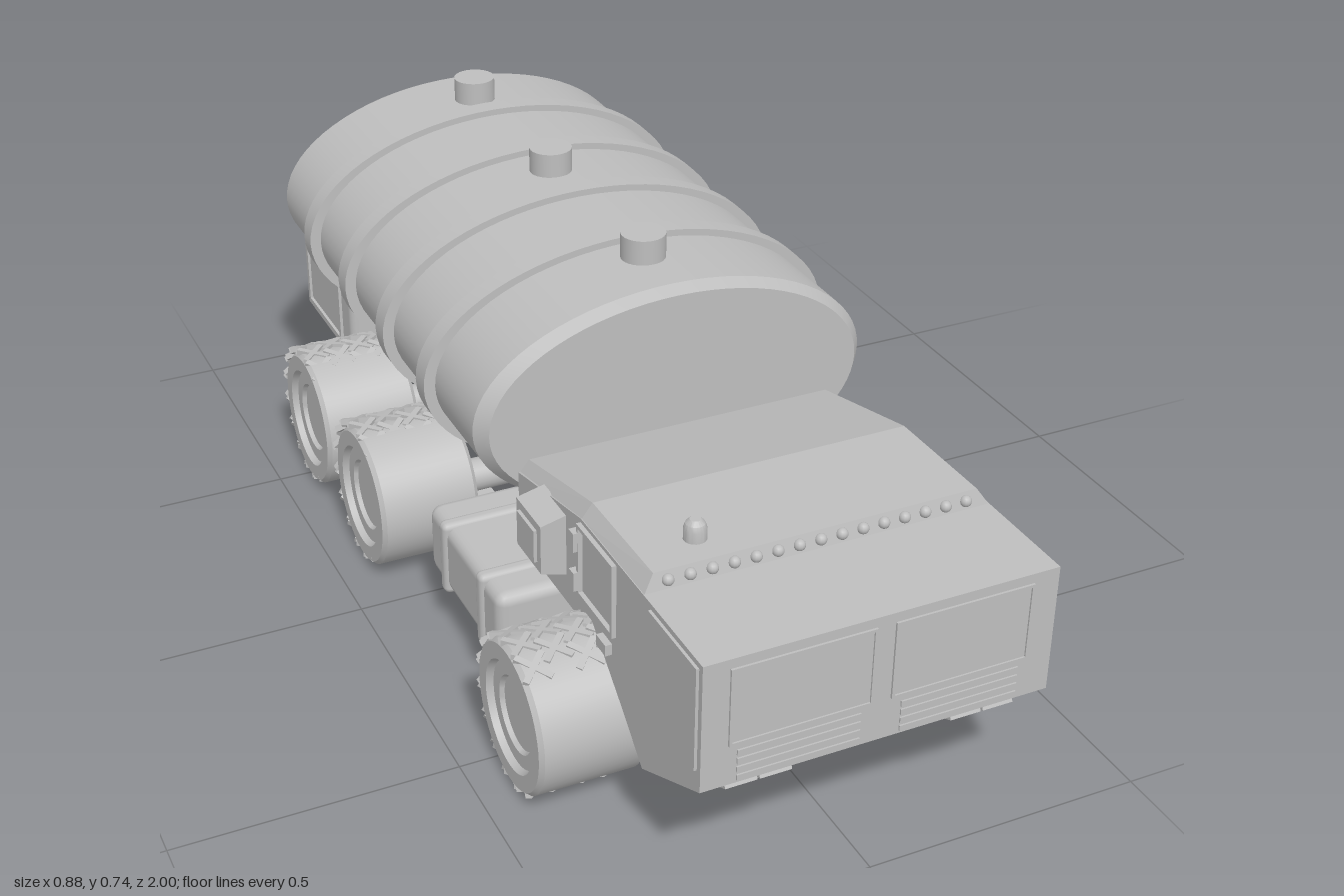
import * as THREE from 'three';
import { toCreasedNormals, mergeGeometries } from 'three/addons/utils/BufferGeometryUtils.js';
import { RoundedBoxGeometry } from 'three/addons/geometries/RoundedBoxGeometry.js';
import { ConvexGeometry } from 'three/addons/geometries/ConvexGeometry.js';

export function createModel() {
  const model = new THREE.Group();
  model.name = 'tankerTruck';
  const gray = new THREE.MeshStandardMaterial({ color: 0xbebebe });
  gray.name = 'plain gray';

  const add = (name, geo, x = 0, y = 0, z = 0, parent = model) => {
    const m = new THREE.Mesh(geo, gray);
    m.name = name;
    m.position.set(x, y, z);
    parent.add(m);
    return m;
  };
  const box = (name, w, h, d, x, y, z, parent) => add(name, new THREE.BoxGeometry(w, h, d), x, y, z, parent);
  const rounded = (name, w, h, d, r, x, y, z) => add(name, new RoundedBoxGeometry(w, h, d, 2, r), x, y, z);
  const cyl = (r, len, axis, seg = 24) => {
    const g = new THREE.CylinderGeometry(r, r, len, seg);
    if (axis === 'x') g.rotateZ(Math.PI / 2);
    if (axis === 'z') g.rotateX(Math.PI / 2);
    return g;
  };
  const lathe = (pts, seg) => toCreasedNormals(
    new THREE.LatheGeometry(pts.map(p => new THREE.Vector2(...p)), seg), 0.5);
  const shapeOf = pts => new THREE.Shape(pts.map(p => new THREE.Vector2(...p)));
  // Side profile of [z, y] points, extruded across x and centred on cx
  const sideways = (name, pts, width, cx = 0) => {
    const g = new THREE.ExtrudeGeometry(shapeOf(pts), { depth: width, bevelEnabled: false });
    g.rotateY(-Math.PI / 2);
    return add(name, g, cx + width / 2);
  };
  // Rectangular frame in the xy plane
  const frame = (w, h, t, depth) => {
    const rect = (a, b) => [[-a, -b], [a, -b], [a, b], [-a, b]];
    const s = shapeOf(rect(w / 2, h / 2));
    s.holes.push(shapeOf(rect(w / 2 - t, h / 2 - t)));
    return new THREE.ExtrudeGeometry(s, { depth, bevelEnabled: false });
  };

  // Cab shell and chamfered roof
  sideways('cab', [[0.996, 0.48], [0.996, 0.25], [0.8, 0.15], [0.72, 0.22], [0.61, 0.31],
    [0.31, 0.31], [0.31, 0.42], [0.57, 0.48]], 0.61);
  box('cabRearBase', 0.56, 0.075, 0.28, 0, 0.277, 0.46);
  const roof = [];
  for (const s of [-1, 1]) {
    for (const [z, y] of [[0.8, 0.478], [0.57, 0.478], [0.31, 0.415]]) roof.push(new THREE.Vector3(s * 0.305, y, z));
    for (const [z, y] of [[0.79, 0.508], [0.57, 0.505], [0.31, 0.44]]) roof.push(new THREE.Vector3(s * 0.285, y, z));
  }
  add('cabRoof', new ConvexGeometry(roof));

  // Roof marker lights and beacon
  for (let i = 0; i < 15; i++)
    add('markerLight', new THREE.SphereGeometry(0.01, 12, 8), -0.263 + i * 0.0375, 0.494, 0.796);
  add('beacon', lathe([[0.019, 0], [0.019, 0.023], [0.016, 0.033], [0.009, 0.04], [0, 0.042]], 20), -0.185, 0.503, 0.73);

  // Windshield, grille and headlights
  for (const s of [-1, 1]) {
    add('windshieldFrame', frame(0.244, 0.14, 0.005, 0.004), s * 0.138, 0.393, 0.996);
    box('windshield', 0.234, 0.13, 0.002, s * 0.138, 0.393, 0.996);
    for (let i = 0; i < 4; i++) box('grilleSlat', 0.21, 0.01, 0.008, s * 0.14, 0.26 + i * 0.0155, 0.995);
    for (const x of [0.168, 0.227]) {
      const lamp = new THREE.Group();
      lamp.name = 'headlight';
      lamp.position.set(s * x, 0.219, 0.935);
      lamp.rotation.x = 1.107;
      add('headlightFrame', frame(0.055, 0.092, 0.007, 0.012), 0, 0, 0, lamp);
      box('headlightLens', 0.042, 0.078, 0.008, 0, 0, 0.001, lamp);
      model.add(lamp);
    }
    // Cab side windows, door and hinges
    const pane = [[0.985, 0.47], [0.985, 0.285], [0.825, 0.195], [0.825, 0.47]];
    const inner = [[0.975, 0.46], [0.975, 0.291], [0.835, 0.212], [0.835, 0.46]];
    const sideFrame = shapeOf(pane);
    sideFrame.holes.push(shapeOf(inner));
    const fg = new THREE.ExtrudeGeometry(sideFrame, { depth: 0.008, bevelEnabled: false });
    fg.rotateY(-Math.PI / 2);
    add('sideWindowFrame', fg, s * 0.306 + 0.004);
    const door = add('doorWindowFrame', frame(0.135, 0.135, 0.007, 0.01), s * 0.303, 0.405, 0.635);
    door.rotation.y = s * Math.PI / 2;
    for (const y of [0.365, 0.44]) box('doorHinge', 0.018, 0.035, 0.018, s * 0.312, y, 0.565);
    box('doorHandle', 0.016, 0.02, 0.035, s * 0.309, 0.305, 0.67);
  }
  // Equipment locker on one side only
  add('sideLocker', new ConvexGeometry([0.41, 0.51].flatMap(z =>
    [[-0.3, 0.452], [-0.35, 0.44], [-0.35, 0.35], [-0.3, 0.335]].map(([x, y]) => new THREE.Vector3(x, y, z)))));
  box('lockerPanel', 0.012, 0.06, 0.07, -0.35, 0.395, 0.46);

  // Elliptical tank with chamfered ends, hoops, filler caps and saddles
  const oval = (name, pts, ry) => {
    const g = new THREE.LatheGeometry(pts.map(p => new THREE.Vector2(...p)), 72);
    g.rotateX(Math.PI / 2);
    g.scale(1, ry, 1);
    return add(name, toCreasedNormals(g, 0.35), 0, 0.49, 0);
  };
  oval('tank', [[0, -0.78], [0.35, -0.78], [0.37, -0.755], [0.37, 0.27], [0.35, 0.295], [0, 0.295]], 0.549);
  for (const z of [0.075, -0.135, -0.345, -0.555])
    oval('tankHoop', [[0.36, z - 0.02], [0.391, z - 0.02], [0.391, z + 0.02], [0.36, z + 0.02]], 0.55);
  for (const z of [0.152, -0.25, -0.635]) add('fillerCap', cyl(0.04, 0.06, 'y', 28), 0, 0.708, z);
  for (const z of [0.165, -0.23, -0.615])
    sideways('tankSaddle', [[z - 0.036, 0.23], [z + 0.036, 0.23], [z + 0.048, 0.325], [z - 0.048, 0.325]], 0.42);

  // Chassis frame
  box('deck', 0.34, 0.03, 1.2, 0, 0.225, -0.1);
  for (const s of [-1, 1]) box('frameRail', 0.05, 0.075, 1.4, s * 0.145, 0.2, 0.02);
  for (const z of [0.4, 0, -0.32, -0.62]) box('crossMember', 0.28, 0.04, 0.05, 0, 0.19, z);
  add('driveshaft', cyl(0.026, 1.06, 'z'), 0, 0.125, 0.05);

  // Wheel with crossed tread bars wrapped round the rear of the tyre
  const tyre = lathe([[0, 0.02], [0.085, 0.02], [0.092, 0], [0.126, 0], [0.134, 0.008], [0.134, 0.184],
    [0.127, 0.192], [0.098, 0.192], [0.093, 0.18], [0.068, 0.18], [0.064, 0.172], [0, 0.172]], 48);
  tyre.rotateZ(-Math.PI / 2);
  const bars = [];
  for (let i = 0; i < 16; i++) {
    for (let row = 0; row < 4; row++) {
      for (const lean of [-1, 1]) {
        const a = (i + (row % 2) * 0.5) / 16 * Math.PI * 2;
        if (Math.cos(a) > 0.45) continue;
        const b = new THREE.BoxGeometry(0.068, 0.012, 0.011);
        b.rotateY(lean * 0.82);
        b.translate(0.027 + row * 0.046, 0.131, 0);
        b.rotateX(Math.PI / 2 - a);
        bars.push(b);
      }
    }
  }
  const tread = mergeGeometries(bars);
  const axles = [[0.577, 0.004], [-0.16, 0.02], [-0.48, 0.016]];
  for (const [z, shift] of axles) {
    for (const s of [-1, 1]) {
      const wheel = new THREE.Group();
      wheel.name = 'wheel';
      wheel.position.set(s * 0.248, 0.137, z);
      add('tyreAndHub', tyre, 0, 0, 0, wheel).rotation.z = s < 0 ? Math.PI : 0;
      add('tread', tread, s < 0 ? -0.192 : 0, 0, -shift, wheel);
      model.add(wheel);
      add('axleFlange', cyl(0.052, 0.03, 'x'), s * 0.238, 0.125, z);
      box('springPad', 0.045, 0.018, 0.1, s * 0.2, 0.085, z);
      box('springBlock', 0.03, 0.1, 0.05, s * 0.16, 0.17, z);
    }
    // Axle tube and faceted differential
    add('axle', cyl(0.032, 0.5, 'x'), 0, 0.125, z);
    const diff = shapeOf([[-0.1, 0.165], [-0.1, 0.09], [-0.065, 0.06], [-0.035, 0.045], [0.035, 0.045],
      [0.065, 0.06], [0.1, 0.09], [0.1, 0.165]]);
    add('differential', new THREE.ExtrudeGeometry(diff, { depth: 0.06, bevelThickness: 0.025,
      bevelSize: 0.02, bevelOffset: -0.02, bevelSegments: 1 }), 0, 0, z - 0.03);
  }

  // Side fuel tanks with straps
  for (const s of [-1, 1]) {
    rounded('fuelTank', 0.2, 0.135, 0.335, 0.022, s * 0.275, 0.155, 0.21);
    for (const z of [0.3, 0.125]) rounded('fuelTankStrap', 0.214, 0.148, 0.03, 0.012, s * 0.275, 0.155, z);
    box('fuelTankMount', 0.06, 0.05, 0.26, s * 0.17, 0.18, 0.21);
    add('airPipe', cyl(0.025, 0.44, 'z'), s * 0.22, 0.13, 0.21);
  }

  // Rear equipment box with side panels and hinged double doors
  rounded('rearBox', 0.55, 0.285, 0.29, 0.018, 0, 0.262, -0.82);
  for (const s of [-1, 1]) {
    const p = add('rearBoxSideFrame', frame(0.22, 0.21, 0.012, 0.01), s * 0.271, 0.25, -0.845);
    p.rotation.y = s * Math.PI / 2;
    box('rearBoxSidePanel', 0.008, 0.17, 0.18, s * 0.274, 0.25, -0.845);
    rounded('rearDoor', 0.222, 0.235, 0.03, 0.008, s * 0.115, 0.26, -0.972);
    for (const y of [0.205, 0.315])
      add('rearDoorFrame', frame(0.19, 0.1, 0.008, 0.006), s * 0.115, y, -0.991);
    for (const y of [0.18, 0.34]) {
      box('rearHinge', 0.035, 0.022, 0.035, s * 0.225, y, -0.98);
      add('rearHingePin', cyl(0.011, 0.05, 'y', 12), s * 0.236, y, -0.989);
    }
  }
  return model;
}
